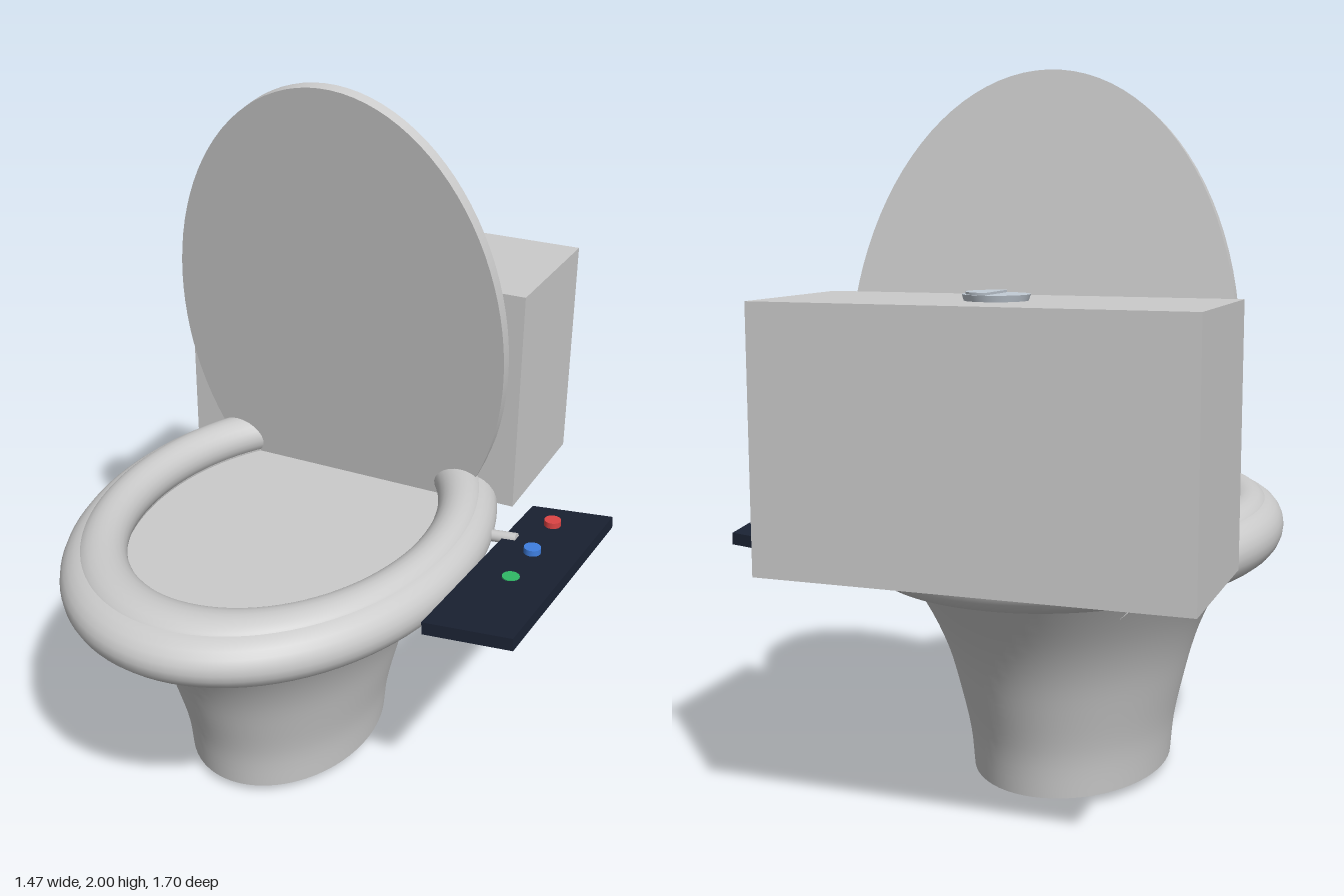
import * as THREE from 'three';

const CX = -0.137;      // centre of the bowl in x
const CZ = 0.04;        // centre of the bowl in z
const OVAL = 1.356;     // stretch of the oval parts along z

const mat = (color = 0xcccccc, side = THREE.FrontSide) =>
  new THREE.MeshStandardMaterial({ color, side });

function add(parent, name, geometry, material, x = 0, y = 0, z = 0) {
  const mesh = new THREE.Mesh(geometry, material);
  mesh.name = name;
  mesh.position.set(x, y, z);
  parent.add(mesh);
  return mesh;
}

// Smooth lathe through a few [radius, height] points
function lathe(points, steps = 24) {
  const curve = new THREE.SplineCurve(points.map(([r, y]) => new THREE.Vector2(r, y)));
  return new THREE.LatheGeometry(curve.getPoints(steps), 64);
}

export function createModel() {
  const model = new THREE.Group();
  model.name = 'toilet';
  const grey = mat();
  const thin = mat(0xcccccc, THREE.DoubleSide);
  const chrome = mat(0xc3ccd6);

  // Oval bowl: everything here is round, then stretched along z
  const bowl = new THREE.Group();
  bowl.name = 'bowl';
  bowl.position.set(CX, 0, CZ);
  bowl.scale.z = OVAL;
  model.add(bowl);

  // Flared pedestal, open underneath
  add(bowl, 'pedestal', lathe([
    [0.282, 0.025], [0.293, 0.14], [0.318, 0.26], [0.352, 0.39],
    [0.400, 0.51], [0.475, 0.65], [0.520, 0.72],
  ]), thin);

  // Inner basin reaching down through the pedestal
  add(bowl, 'basin', new THREE.CylinderGeometry(0.43, 0.127, 0.69, 64, 1, true), thin, 0, 0.345, 0);
  add(bowl, 'basinBottom', new THREE.CircleGeometry(0.127, 64).rotateX(-Math.PI / 2), thin, 0, 0, 0);
  add(bowl, 'bowlFloor', new THREE.CircleGeometry(0.47, 64).rotateX(-Math.PI / 2), thin, 0, 0.715, 0);

  // Rim with the seat ring on it
  const ring = (r, tube) => new THREE.TorusGeometry(r, tube, 24, 96).rotateX(Math.PI / 2);
  add(bowl, 'rim', ring(0.518, 0.08), grey, 0, 0.725, 0);
  add(bowl, 'seat', ring(0.492, 0.066), grey, 0, 0.759, 0);

  // Raised oval lid leaning forward
  const lidGeometry = new THREE.CylinderGeometry(0.542, 0.542, 0.04, 96)
    .rotateX(Math.PI / 2).scale(1, 1.42, 1);
  add(model, 'lid', lidGeometry, grey, CX, 1.238, -0.308).rotation.x = 0.147;

  // Tank
  add(model, 'tank', new THREE.BoxGeometry(1.134, 0.69, 0.478), grey, CX, 1.07, -0.61);

  // Two-part flush button
  const flush = new THREE.Group();
  flush.name = 'flushButton';
  flush.position.set(CX, 1.415, -0.615);
  model.add(flush);
  add(flush, 'flushPlate', new THREE.CylinderGeometry(0.085, 0.08, 0.016, 48), chrome, 0, 0.008, 0);
  const half = new THREE.Shape();
  half.absarc(0, 0, 0.076, -Math.PI / 2, Math.PI / 2, false);
  half.closePath();
  const halfGeometry = new THREE.ExtrudeGeometry(half, { depth: 0.008, bevelEnabled: false, curveSegments: 24 })
    .rotateX(-Math.PI / 2);
  add(flush, 'flushHalf', halfGeometry, chrome, 0, 0.014, 0);

  // Tilted control panel at the side
  const panel = add(model, 'controlPanel', new THREE.BoxGeometry(0.255, 0.035, 0.87),
    mat(0x1a2233), 0.602, 0.744, -0.005);
  panel.rotation.set(-0.1, 0, 0.1);

  // Panel buttons, all level
  [['redButton', 0xdd4444, -0.27], ['blueButton', 0x3f7fe0, -0.095], ['greenButton', 0x2fb866, 0.08]]
    .forEach(([name, color, z]) => add(model, name,
      new THREE.CylinderGeometry(0.025, 0.025, 0.018, 32), mat(color), 0.593, 0.765, z));

  // Arm holding the panel to the rim
  add(model, 'panelArm', new THREE.CylinderGeometry(0.018, 0.018, 0.11, 24), mat(0xdddddd),
    0.46, 0.727, -0.182).rotation.z = Math.PI / 2 + 0.1;

  return model;
}
